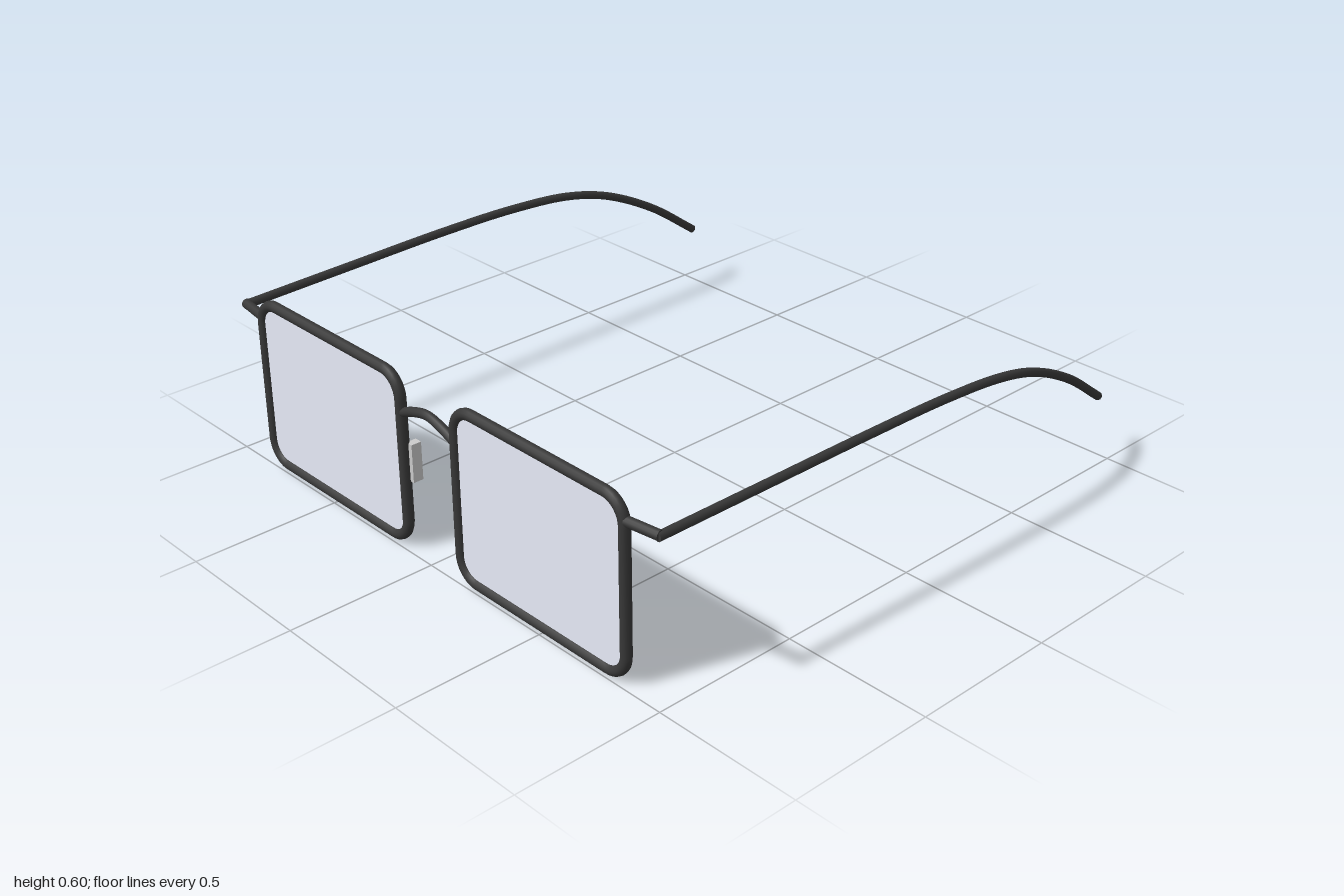
import * as THREE from 'three';

const frameMat = new THREE.MeshStandardMaterial({ color: 0x383838 });
const lensMat = new THREE.MeshStandardMaterial({ color: 0xe8ecf9 });
const padMat = new THREE.MeshStandardMaterial({ color: 0xcccccc });

const RIM_Z = 0.98;
const RIM_R = 0.018;
const v = (x, y, z) => new THREE.Vector3(x, y, z);

function add(parent, name, geometry, material) {
  const mesh = new THREE.Mesh(geometry, material);
  mesh.name = name;
  parent.add(mesh);
  return mesh;
}

// Rounded rectangle centred on the origin
function roundedRect(w, h, r) {
  const x = w / 2 - r, y = h / 2 - r;
  const s = new THREE.Shape();
  s.moveTo(-x, -h / 2);
  s.lineTo(x, -h / 2);
  s.absarc(x, -y, r, -Math.PI / 2, 0);
  s.lineTo(w / 2, y);
  s.absarc(x, y, r, 0, Math.PI / 2);
  s.lineTo(-x, h / 2);
  s.absarc(-x, y, r, Math.PI / 2, Math.PI);
  s.lineTo(-w / 2, -y);
  s.absarc(-x, -y, r, Math.PI, Math.PI * 1.5);
  return s;
}

// Lifts a flat outline into a 3D path for a tube
class OutlineCurve extends THREE.Curve {
  constructor(shape) {
    super();
    this.shape = shape;
  }
  getPoint(t, target = new THREE.Vector3()) {
    const p = this.shape.getPoint(t % 1);
    return target.set(p.x, p.y, 0);
  }
}

// Round wire through points, with flat ends
function wire(parent, name, points, radius, segments) {
  const curve = new THREE.CatmullRomCurve3(points);
  const group = new THREE.Group();
  group.name = name;
  parent.add(group);
  add(group, name + 'Wire', new THREE.TubeGeometry(curve, segments, radius, 12), frameMat);
  for (const t of [0, 1]) {
    const cap = add(group, name + 'End', new THREE.CircleGeometry(radius, 12), frameMat);
    cap.position.copy(curve.getPointAt(t));
    const out = curve.getTangentAt(t).multiplyScalar(t ? 1 : -1);
    cap.quaternion.setFromUnitVectors(v(0, 0, 1), out);
  }
}

function buildSide(s, side) {
  const group = new THREE.Group();
  group.name = side + 'Side';

  // Rim and lens
  const rim = add(group, side + 'Rim', new THREE.TubeGeometry(
    new OutlineCurve(roundedRect(0.718, 0.562, 0.075)), 160, RIM_R, 12, true), frameMat);
  rim.position.set(s * 0.488, 0.299, RIM_Z);
  const lens = add(group, side + 'Lens', new THREE.ExtrudeGeometry(
    roundedRect(0.71, 0.554, 0.071), { depth: 0.01, bevelEnabled: false, curveSegments: 10 }), lensMat);
  lens.position.set(s * 0.488, 0.299, RIM_Z - 0.005);

  // Nose pad
  const pad = add(group, side + 'NosePad', new THREE.BoxGeometry(0.026, 0.128, 0.035), padMat);
  pad.position.set(s * 0.11, 0.296, 0.957);

  // End piece joining rim and temple
  wire(group, side + 'EndPiece', [
    v(s * 0.848, 0.522, RIM_Z), v(s * 0.967, 0.522, 0.964)], 0.016, 4);

  // Temple arm, curving down and in behind the ear
  wire(group, side + 'Temple', [
    v(s * 0.964, 0.52, 0.972), v(s * 0.974, 0.525, 0.55), v(s * 0.983, 0.529, 0.15),
    v(s * 0.986, 0.524, -0.15), v(s * 0.985, 0.502, -0.4), v(s * 0.977, 0.456, -0.58),
    v(s * 0.962, 0.354, -0.79), v(s * 0.947, 0.215, -0.988)], 0.0145, 64);
  return group;
}

export function createModel() {
  const model = new THREE.Group();
  model.name = 'glasses';
  model.add(buildSide(1, 'left'), buildSide(-1, 'right'));

  // Arched bridge
  wire(model, 'bridge', [
    v(-0.128, 0.462, RIM_Z), v(-0.06, 0.488, RIM_Z), v(0, 0.5, RIM_Z),
    v(0.06, 0.488, RIM_Z), v(0.128, 0.462, RIM_Z)], 0.015, 32);
  return model;
}
